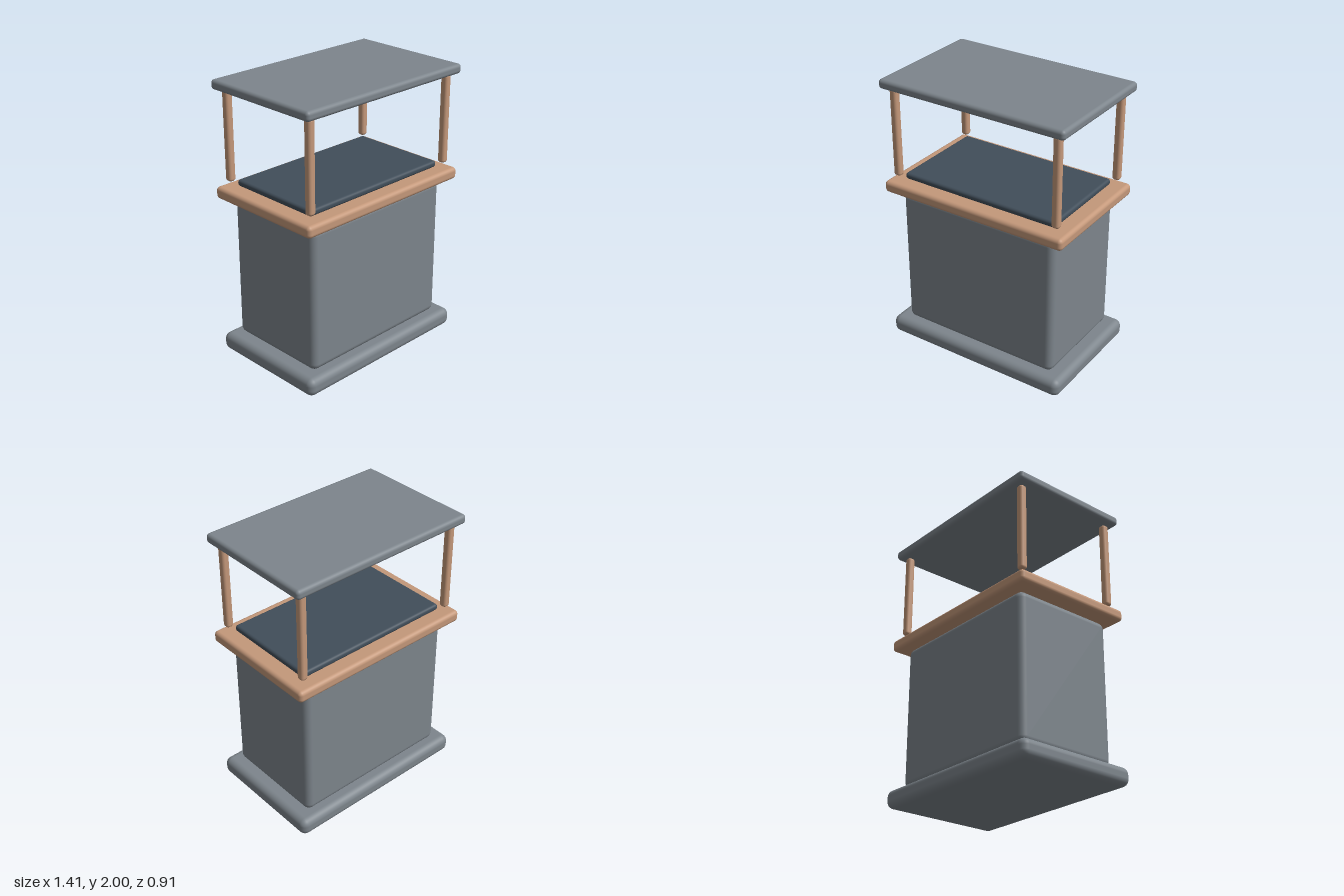
import * as THREE from 'three';
import { RoundedBoxGeometry } from 'three/addons/geometries/RoundedBoxGeometry.js';

function material(name, color) {
  const m = new THREE.MeshStandardMaterial({ color });
  m.name = name;
  return m;
}

export function createModel() {
  const model = new THREE.Group();
  model.name = 'marketStall';

  const grey = material('slateGrey', 0x7d858c);
  const wood = material('lightWood', 0xc4987a);
  const dark = material('darkBlueGrey', 0x414e5a);

  // Rounded slab spanning y0..y1
  function slab(name, mat, width, depth, y0, y1, radius, x = 0, z = 0) {
    const geometry = new RoundedBoxGeometry(width, y1 - y0, depth, 4, radius);
    const mesh = new THREE.Mesh(geometry, mat);
    mesh.name = name;
    mesh.position.set(x, (y0 + y1) / 2, z);
    model.add(mesh);
  }

  // Plinth, cabinet and counter
  slab('base', grey, 1.414, 0.914, 0, 0.13, 0.05);
  slab('cabinet', grey, 1.22, 0.77, 0.13, 1.17, 0.05);
  slab('counter', wood, 1.414, 0.914, 1.17, 1.255, 0.028);
  slab('counterMat', dark, 1.2, 0.714, 1.258, 1.305, 0.02);

  // Corner posts, standing slightly clear of the counter
  for (const sx of [-1, 1]) {
    for (const sz of [-1, 1]) {
      const name = (sz > 0 ? 'front' : 'back') + (sx > 0 ? 'Left' : 'Right') + 'Post';
      slab(name, wood, 0.055, 0.055, 1.295, 1.932, 0.02, sx * 0.628, sz * 0.386);
    }
  }

  // Flat canopy
  slab('roof', grey, 1.414, 0.914, 1.932, 2, 0.025);

  return model;
}
